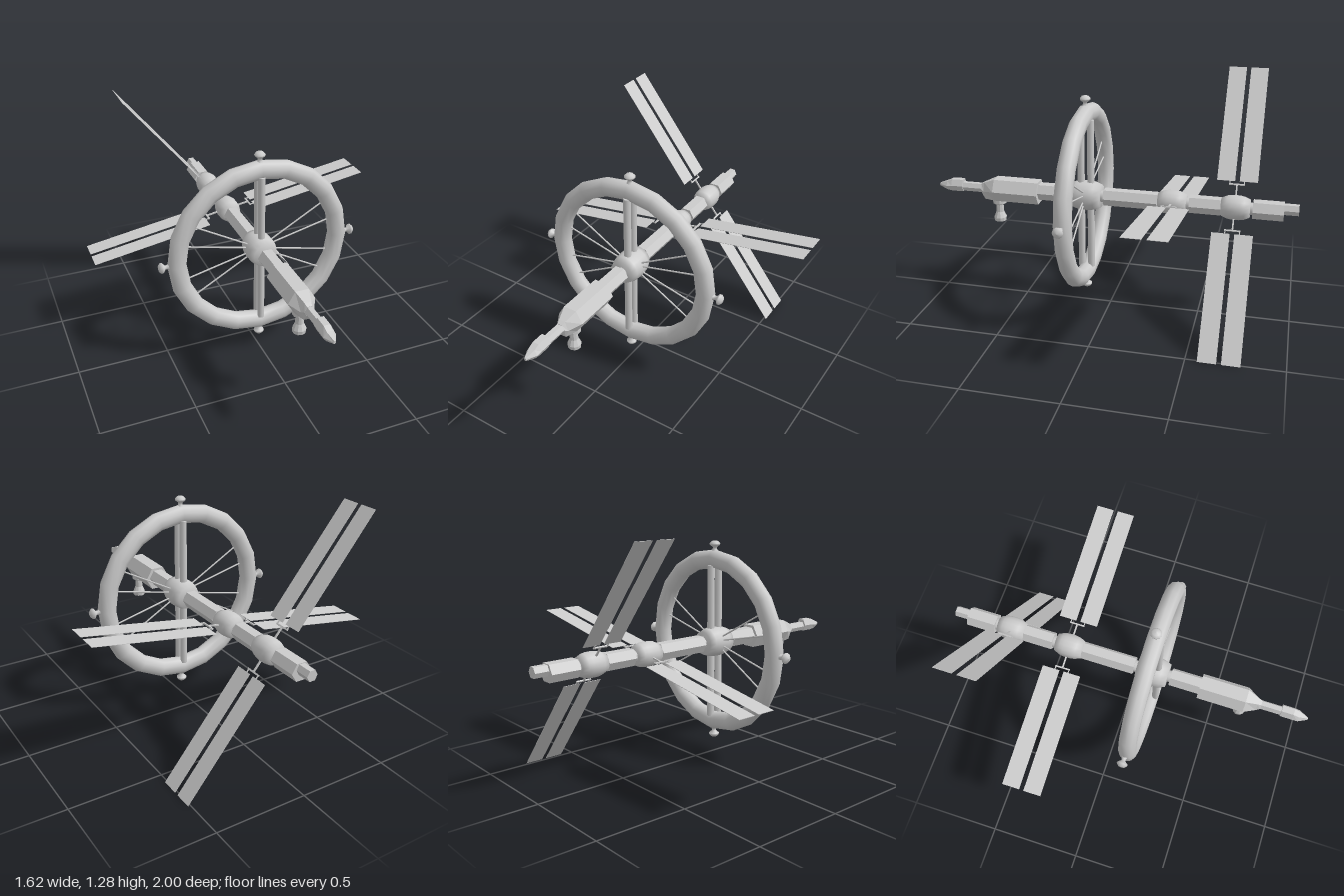
import * as THREE from 'three';

const CY = 0.64;     // height of the long axis
const RING_Z = 0.138;

const smooth = new THREE.MeshStandardMaterial({ color: 0xcccccc });
const faceted = new THREE.MeshStandardMaterial({ color: 0xcccccc, flatShading: true });

function add(parent, name, geometry, material = smooth) {
  const mesh = new THREE.Mesh(geometry, material);
  mesh.name = name;
  parent.add(mesh);
  return mesh;
}

// Hexagonal hull through sections [z, centreY, halfWidth, halfHeight], z rising
function hexHull(sections) {
  const pos = [];
  const at = (i, j) => {
    const [z, y, w, h] = sections[i];
    const a = (j * Math.PI) / 3;
    return [w * Math.cos(a), y + (h * Math.sin(a)) / Math.sin(Math.PI / 3), z];
  };
  const last = sections.length - 1;
  for (let j = 0; j < 6; j++) {
    for (let i = 0; i < last; i++) {
      const a = at(i, j), b = at(i, j + 1), c = at(i + 1, j + 1), d = at(i + 1, j);
      pos.push(...a, ...b, ...c, ...a, ...c, ...d);
    }
    pos.push(0, sections[0][1], sections[0][0], ...at(0, j + 1), ...at(0, j));
    pos.push(0, sections[last][1], sections[last][0], ...at(last, j), ...at(last, j + 1));
  }
  const g = new THREE.BufferGeometry();
  g.setAttribute('position', new THREE.Float32BufferAttribute(pos, 3));
  g.computeVertexNormals();
  return g;
}

const prism = (z0, z1, w, h, y = CY) => hexHull([[z0, y, w, h], [z1, y, w, h]]);

// Lathe from [radius, height] pairs, bottom to top
const lathe = (points, sides) =>
  new THREE.LatheGeometry(points.map(([r, y]) => new THREE.Vector2(r, y)), sides);

// Round barrel along z
function barrel(z, half, rMid, rEnd) {
  const pts = [[0, -half], [rEnd, -half]];
  for (const t of [-0.6, -0.3, 0, 0.3, 0.6]) {
    pts.push([rEnd + (rMid - rEnd) * (1 - Math.pow(Math.abs(t), 2.5)), t * half]);
  }
  pts.push([rEnd, half], [0, half]);
  return lathe(pts, 16).rotateX(Math.PI / 2).translate(0, CY, z);
}

function wheel() {
  const g = new THREE.Group();
  g.name = 'wheel';
  g.position.set(0, CY, RING_Z);
  add(g, 'ring', new THREE.TorusGeometry(0.457, 0.051, 10, 20).scale(1, 1, 0.92));

  // Paired lift shafts, above and below the hub
  for (const s of [1, -1]) {
    for (const z of [-0.027, 0.027]) {
      add(g, 'shaft', new THREE.CylinderGeometry(0.02, 0.02, 0.38, 8).translate(0, s * 0.235, z));
    }
  }

  // Thin bracing spokes
  for (const deg of [13.3, 29.5]) {
    for (const a of [deg, -deg, 180 - deg, 180 + deg]) {
      const spoke = add(g, 'spoke', new THREE.CylinderGeometry(0.0045, 0.0045, 0.38, 6).translate(0, 0.235, 0));
      spoke.rotation.z = THREE.MathUtils.degToRad(a - 90);
    }
  }

  // Domed knobs on the rim
  const knob = lathe([[0.024, 0.49], [0.013, 0.508], [0.011, 0.52], [0.028, 0.533],
    [0.029, 0.541], [0.018, 0.553], [0, 0.557]], 10);
  for (let i = 0; i < 4; i++) add(g, 'rimKnob', knob).rotation.z = (i * Math.PI) / 2;
  return g;
}

// Two opposite wings, each of two thin strips on a forked boom
function solarArray(z, degrees) {
  const g = new THREE.Group();
  g.name = 'solarArray';
  g.position.set(0, CY, z);
  g.rotation.z = THREE.MathUtils.degToRad(degrees);
  for (const s of [1, -1]) {
    add(g, 'boom', new THREE.BoxGeometry(0.09, 0.008, 0.008).translate(s * 0.085, 0, 0));
    add(g, 'crossbar', new THREE.BoxGeometry(0.008, 0.008, 0.084).translate(s * 0.128, 0, 0));
    for (const t of [1, -1]) {
      add(g, 'prong', new THREE.BoxGeometry(0.02, 0.005, 0.005).translate(s * 0.138, 0, t * 0.038));
      add(g, 'panel', new THREE.BoxGeometry(0.674, 0.002, 0.096).translate(s * 0.483, 0, t * 0.06));
    }
  }
  return g;
}

export function createModel() {
  const model = new THREE.Group();
  model.name = 'spaceStation';

  // Core and hexagonal modules
  add(model, 'core', new THREE.CylinderGeometry(0.033, 0.033, 1.3, 12)
    .rotateX(Math.PI / 2).translate(0, CY, -0.25));
  add(model, 'forwardModule', prism(0.24, 0.41, 0.05, 0.043), faceted);
  add(model, 'midModule', prism(-0.26, 0.035, 0.05, 0.043), faceted);
  add(model, 'linkModule', prism(-0.598, -0.432, 0.05, 0.043), faceted);
  add(model, 'aftModule', prism(-0.925, -0.765, 0.055, 0.045), faceted);
  add(model, 'tailPort', prism(-1, -0.92, 0.03, 0.027, 0.654), faceted);

  // Rounded nodes
  add(model, 'hub', barrel(RING_Z, 0.086, 0.082, 0.064));
  add(model, 'frontNode', barrel(-0.339, 0.076, 0.066, 0.048));
  add(model, 'rearNode', barrel(-0.675, 0.076, 0.066, 0.048));

  // Command section, neck and nose
  add(model, 'commandModule', hexHull([[0.405, 0.634, 0.072, 0.062], [0.66, 0.634, 0.072, 0.062],
    [0.725, 0.62, 0.035, 0.048], [0.745, 0.632, 0.026, 0.026]]), faceted);
  add(model, 'neck', prism(0.74, 0.87, 0.025, 0.024, 0.632), faceted);
  add(model, 'nose', hexHull([[0.855, 0.639, 0.034, 0.034], [0.92, 0.638, 0.034, 0.034],
    [0.95, 0.633, 0.032, 0.025], [1, 0.632, 0.007, 0.008]]), faceted);

  // Downward thruster
  add(model, 'thruster', lathe([[0, 0.445], [0.034, 0.445], [0.036, 0.465], [0.022, 0.498],
    [0.021, 0.54], [0.038, 0.55], [0.038, 0.585], [0, 0.585]], 10).translate(0, 0, 0.645), faceted);

  model.add(wheel(), solarArray(-0.339, 9.3), solarArray(-0.67, -51.2));
  return model;
}
